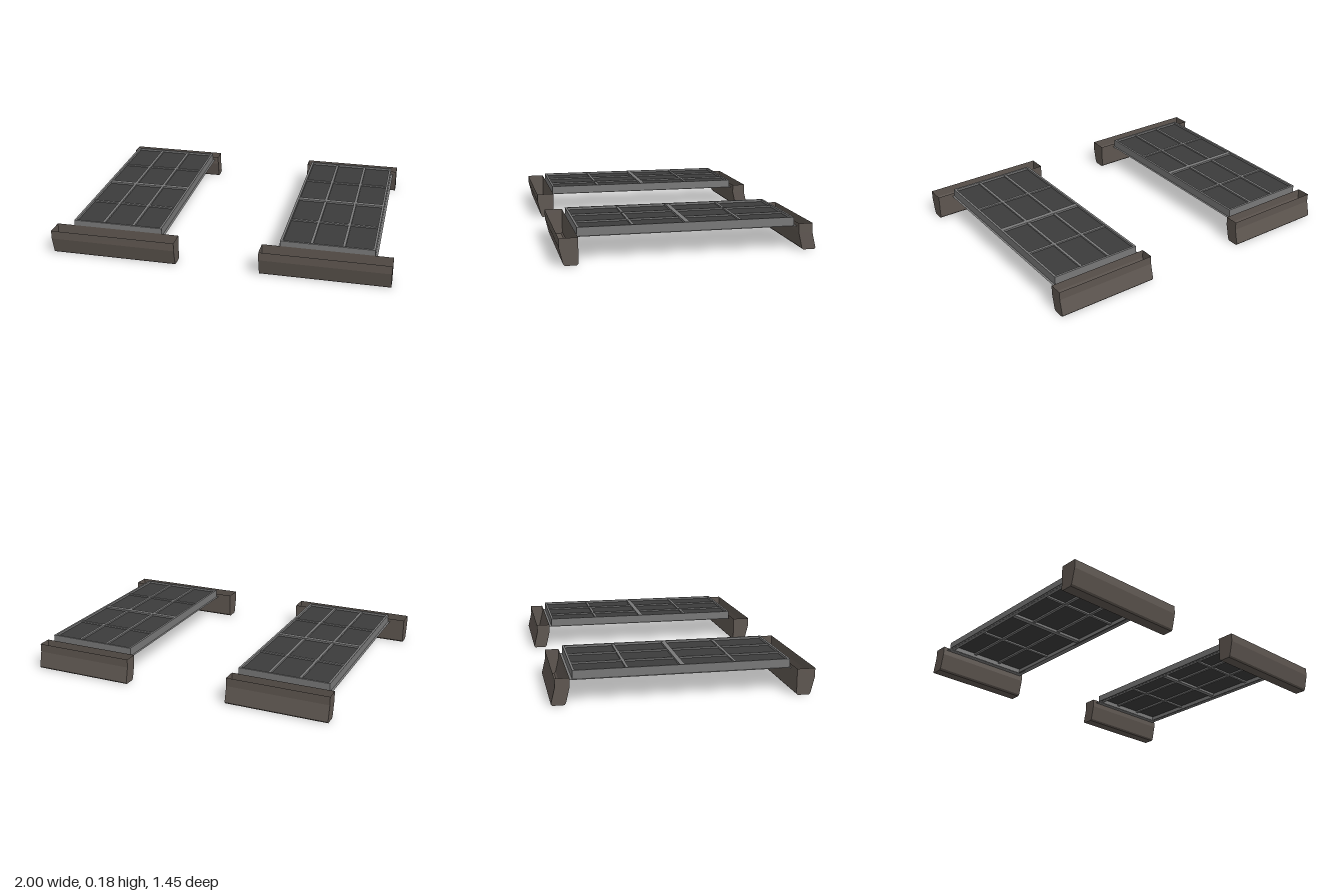
import * as THREE from 'three';

const mat = (name, color, side = THREE.FrontSide) => {
  const m = new THREE.MeshStandardMaterial({ color, side });
  m.name = name;
  return m;
};

export function createModel() {
  const stone = mat('brown stone', 0x5e5650, THREE.DoubleSide);
  const paint = mat('grey frame paint', 0x787878, THREE.DoubleSide);
  const glass = mat('dark glass', 0x3b3b3b);

  const add = (parent, name, geometry, material, x = 0, y = 0, z = 0) => {
    const mesh = new THREE.Mesh(geometry, material);
    mesh.name = name;
    mesh.position.set(x, y, z);
    parent.add(mesh);
    return mesh;
  };

  // Hollow trim: a [z, y] profile swept along x, left open on its wall side (top)
  const TOP = 0.15;
  const trim = (profile, width) => {
    const shape = new THREE.Shape(profile.map(([z, y]) => new THREE.Vector2(-z, y)));
    const solid = new THREE.ExtrudeGeometry(shape, { depth: width, bevelEnabled: false });
    solid.translate(0, 0, -width / 2).rotateY(Math.PI / 2);
    const p = solid.attributes.position;
    const kept = [];
    for (let i = 0; i < p.count; i += 3) {
      const open = [0, 1, 2].every(k => p.getY(i + k) > TOP - 0.001);
      if (open) continue;
      for (let k = 0; k < 3; k++) kept.push(p.getX(i + k), p.getY(i + k), p.getZ(i + k));
    }
    const g = new THREE.BufferGeometry();
    g.setAttribute('position', new THREE.Float32BufferAttribute(kept, 3));
    g.computeVertexNormals();
    return g;
  };

  // Rectangular ring lying flat
  const ring = (hx, hz, border, height) => {
    const rect = (T, a, b) => new T([[-a, -b], [a, -b], [a, b], [-a, b]].map(([x, y]) => new THREE.Vector2(x, y)));
    const s = rect(THREE.Shape, hx, hz);
    s.holes.push(rect(THREE.Path, hx - border, hz - border));
    const g = height
      ? new THREE.ExtrudeGeometry(s, { depth: height, bevelEnabled: false })
      : new THREE.ShapeGeometry(s);
    return g.rotateX(-Math.PI / 2);
  };

  const sillGeo = trim([
    [0.622, TOP], [0.725, TOP], [0.725, 0.10], [0.703, 0.01], [0.695, 0], [0.63, 0], [0.622, 0.008],
  ], 0.75);
  const lintelGeo = trim([
    [-0.622, TOP], [-0.702, TOP], [-0.702, 0.10], [-0.724, 0.008], [-0.717, 0], [-0.652, 0], [-0.643, 0.01], [-0.622, 0.10],
  ], 0.61);

  const model = new THREE.Group();
  model.name = 'windowPair';

  for (const [name, x] of [['leftWindow', 0.624], ['rightWindow', -0.624]]) {
    const win = new THREE.Group();
    win.name = name;
    win.position.x = x;
    model.add(win);

    add(win, 'sill', sillGeo, stone);
    add(win, 'lintel', lintelGeo, stone);

    // Frame: flat flange on the outer face, with a thin wall around the panes
    add(win, 'frameFlange', ring(0.284, 0.621, 0.035, 0), paint, 0, 0.131, 0);
    add(win, 'frameWall', ring(0.271, 0.61, 0.013, 0.05), paint, 0, 0.13, 0.006);

    // Glass and glazing bars
    add(win, 'glass', new THREE.BoxGeometry(0.53, 0.006, 1.2), glass, 0, 0.164, 0.004);
    for (const bx of [-0.092, 0.092])
      add(win, 'verticalBar', new THREE.BoxGeometry(0.016, 0.026, 1.2), paint, bx, 0.163, 0.004);
    for (const bz of [-0.302, 0.306])
      add(win, 'horizontalBar', new THREE.BoxGeometry(0.53, 0.024, 0.016), paint, 0, 0.163, bz);
    add(win, 'meetingRail', new THREE.BoxGeometry(0.53, 0.032, 0.028), paint, 0, 0.162, 0.003);
  }
  return model;
}
